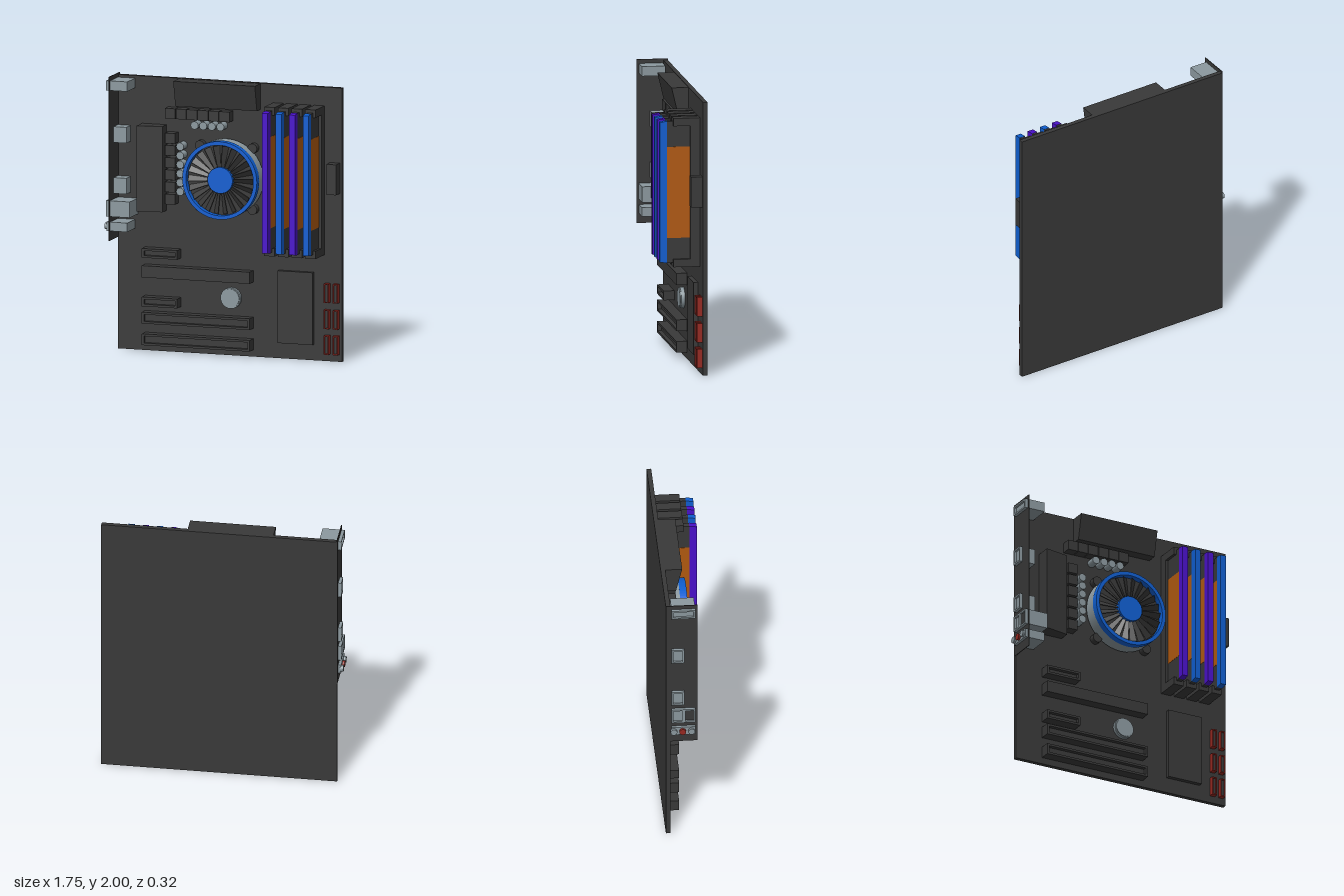
import * as THREE from 'three';

const mat = (name, color) => {
  const m = new THREE.MeshStandardMaterial({ color });
  m.name = name;
  return m;
};

export function createModel() {
  const dark = mat('charcoal', 0x393939);
  const metal = mat('metal', 0x8c999f);
  const blue = mat('blue', 0x0f5fd2);
  const purple = mat('purple', 0x4a10cc);
  const orange = mat('orange', 0xb25a10);
  const red = mat('red', 0x982a22);

  const root = new THREE.Group();
  root.name = 'mainboard';
  const BASE = -0.127; // front surface of the board

  const add = (name, geo, material, parent = root) => {
    const mesh = new THREE.Mesh(geo, material);
    mesh.name = name;
    parent.add(mesh);
    return mesh;
  };
  const group = (name) => {
    const g = new THREE.Group();
    g.name = name;
    root.add(g);
    return g;
  };
  // Box given by its extents
  const box = (name, m, x0, x1, y0, y1, z0, z1, parent) =>
    add(name, new THREE.BoxGeometry(x1 - x0, y1 - y0, z1 - z0)
      .translate((x0 + x1) / 2, (y0 + y1) / 2, (z0 + z1) / 2), m, parent);
  // Moves the front corners of a geometry by a rule
  const shapeFront = (mesh, zMid, rule) => {
    const p = mesh.geometry.attributes.position;
    const v = new THREE.Vector3();
    for (let i = 0; i < p.count; i++) {
      v.fromBufferAttribute(p, i);
      if (v.z > zMid) { rule(v); p.setXYZ(i, v.x, v.y, v.z); }
    }
    mesh.geometry.computeVertexNormals();
  };
  // Upright cylinder standing out from the board
  const disc = (name, m, x, y, r, z0, z1, sides, parent) =>
    add(name, new THREE.CylinderGeometry(r, r, z1 - z0, sides)
      .rotateX(Math.PI / 2).translate(x, y, (z0 + z1) / 2), m, parent);
  // Rectangular rim centred on the origin, rising along +z
  const rim = (w, h, depth, wall) => {
    const rect = (T, a, b) => new T([[-a, -b], [a, -b], [a, b], [-a, b]].map(([x, y]) => new THREE.Vector2(x, y)));
    const s = rect(THREE.Shape, w / 2, h / 2);
    s.holes.push(rect(THREE.Path, w / 2 - wall, h / 2 - wall));
    return new THREE.ExtrudeGeometry(s, { depth, bevelEnabled: false });
  };
  // Open socket: solid floor with a rim around it
  const socket = (name, m, floorM, x0, x1, y0, y1, zTop, wall, depth) => {
    const g = group(name);
    box(name + 'Floor', floorM, x0 + 0.002, x1 - 0.002, y0 + 0.002, y1 - 0.002, BASE, zTop - depth, g);
    add(name + 'Rim', rim(x1 - x0, y1 - y0, zTop - BASE, wall)
      .translate((x0 + x1) / 2, (y0 + y1) / 2, BASE), m, g);
  };

  // Board and rear connector plate
  box('board', dark, -0.835, 0.87, 0, 1.988, -0.16, BASE);
  box('connectorPlate', dark, -0.837, -0.831, 0.81, 2, -0.16, 0.066);

  // Rear ports, each with a rim facing outwards: [x1, y0, y1, z0, z1]
  [[-0.70, 1.90, 1.97, -0.12, 0.05], [-0.735, 1.51, 1.625, -0.12, -0.03],
    [-0.735, 1.14, 1.255, -0.12, -0.03], [-0.68, 0.985, 1.10, -0.12, -0.035],
    [-0.68, 0.985, 1.10, -0.035, 0.052], [-0.70, 0.88, 0.945, -0.12, 0.05],
  ].forEach(([x1, y0, y1, z0, z1], i) => {
    const g = group('rearPort');
    box('portBody', metal, i === 5 ? -0.858 : -0.845, x1, y0, y1, z0, z1, g);
    if (i === 5) return;
    add('portRim', rim(z1 - z0, y1 - y0, 0.015, 0.012).rotateY(-Math.PI / 2)
      .translate(-0.845, (y0 + y1) / 2, (z0 + z1) / 2), metal, g);
    if (i === 4) box('portOpening', dark, -0.847, -0.845, y0 + 0.012, y1 - 0.012, z0 + 0.012, z1 - 0.012, g);
  });
  // Audio jacks
  [-0.105, -0.042, 0.022].forEach((z, i) =>
    add('audioJack', new THREE.CylinderGeometry(0.024, 0.024, 0.025, 16)
      .rotateZ(Math.PI / 2).translate(-0.8625, 0.912, z), i === 1 ? red : metal));

  // Sloped heat sinks
  shapeFront(box('topHeatSink', dark, -0.37, 0.25, 1.797, 1.985, BASE, -0.005), -0.1,
    (v) => { if (v.y < 1.9) v.z = -0.05; });
  shapeFront(box('sideHeatSink', dark, -0.65, -0.465, 1.022, 1.645, BASE, -0.008), -0.1,
    (v) => { if (v.x > -0.55) v.z = -0.045; });
  box('chipsetHeatSink', dark, 0.39, 0.658, 0.115, 0.64, BASE, -0.095);

  // Power chokes and capacitors
  for (let i = 0; i < 6; i++) {
    const x = -0.45 + i * 0.0825;
    box('choke', dark, x, x + 0.078, 1.703, 1.777, BASE, -0.053);
    const y = 1.523 - i * 0.0885;
    box('choke', dark, -0.45, -0.375, y, y + 0.074, BASE, -0.053);
    disc('capacitor', metal, -0.335, 1.505 - i * 0.0655, 0.029, BASE, -0.05, 12);
    if (i < 4) disc('capacitor', metal, -0.225 + i * 0.0655, 1.665, 0.029, BASE, -0.05, 12);
  }

  // Processor cooler
  const cooler = group('cooler');
  cooler.position.set(0.003, 1.295, 0);
  for (const sx of [-1, 1]) for (const sy of [-1, 1])
    disc('mountingPost', dark, sx * 0.2, sy * 0.222, 0.036, BASE, -0.08, 16, cooler);
  disc('coolerBase', dark, 0, 0, 0.24, BASE, -0.1, 32, cooler);
  disc('coolerBody', metal, 0, 0, 0.28, -0.1, 0.001, 40, cooler);
  disc('fanFloor', dark, 0, 0, 0.262, 0, 0.004, 40, cooler);
  const ringShape = new THREE.Shape().absarc(0, 0, 0.283, 0, Math.PI * 2);
  ringShape.holes.push(new THREE.Path().absarc(0, 0, 0.256, 0, Math.PI * 2, true));
  add('fanRing', new THREE.ExtrudeGeometry(ringShape, { depth: 0.052, bevelEnabled: false, curveSegments: 40 }), blue, cooler);
  disc('fanHub', blue, 0, 0, 0.095, 0, 0.045, 32, cooler);
  // Tilted blades that widen outwards
  const blade = new THREE.BoxGeometry(0.16, 0.05, 0.004);
  const bp = blade.attributes.position;
  for (let i = 0; i < bp.count; i++) if (bp.getX(i) < 0) bp.setY(i, bp.getY(i) * 0.5);
  blade.rotateX(0.62).translate(0.168, 0, 0.023);
  for (let i = 0; i < 22; i++)
    add('fanBlade', blade, dark, cooler).rotation.z = (i / 22) * Math.PI * 2;

  // Memory slots and modules
  for (let i = 0; i < 4; i++) {
    const x = 0.386 + i * 0.1035;
    const g = group('memory');
    box('memorySlot', dark, x - 0.04, x + 0.04, 0.77, 1.852, BASE, -0.058, g);
    for (const y of [0.77, 1.795])
      box('memoryClip', dark, x - 0.04, x + 0.04, y, y + 0.057, -0.058, 0.063, g);
    box('memoryModule', dark, x - 0.02, x + 0.02, 0.8, 1.828, -0.058, 0.107, g);
    box('heatSpreader', orange, x - 0.022, x + 0.022, 0.98, 1.643, -0.058, 0.106, g);
    const cap = box('moduleCap', i % 2 ? blue : purple, x - 0.022, x + 0.022, 0.798, 1.83, 0.106, 0.16, g);
    shapeFront(cap, 0.13, (v) => { v.y += v.y > 1.3 ? -0.008 : 0.008; });
  }

  // Expansion slots: [x1, y0, y1]
  box('expansionSlot', dark, -0.625, 0.195, 0.54, 0.625, BASE, -0.048);
  [[0.195, 0.205, 0.287], [0.195, 0.048, 0.13], [-0.355, 0.683, 0.75], [-0.355, 0.33, 0.398]]
    .forEach(([x1, y0, y1]) => socket('expansionSlot', dark, dark, -0.625, x1, y0, y1, -0.048, 0.016, 0.03));

  // Drive sockets
  for (const x of [0.743, 0.812]) for (const y of [0.052, 0.238, 0.428])
    socket('driveSocket', red, dark, x, x + 0.038, y, y + 0.138, -0.088, 0.007, 0.012);

  // Power connector and battery
  box('powerConnector', dark, 0.78, 0.853, 1.222, 1.443, BASE, -0.045);
  disc('batteryHolder', metal, 0.031, 0.418, 0.076, BASE, -0.1, 24);
  disc('battery', metal, 0.031, 0.418, 0.068, -0.1, -0.092, 24);

  return root;
}
